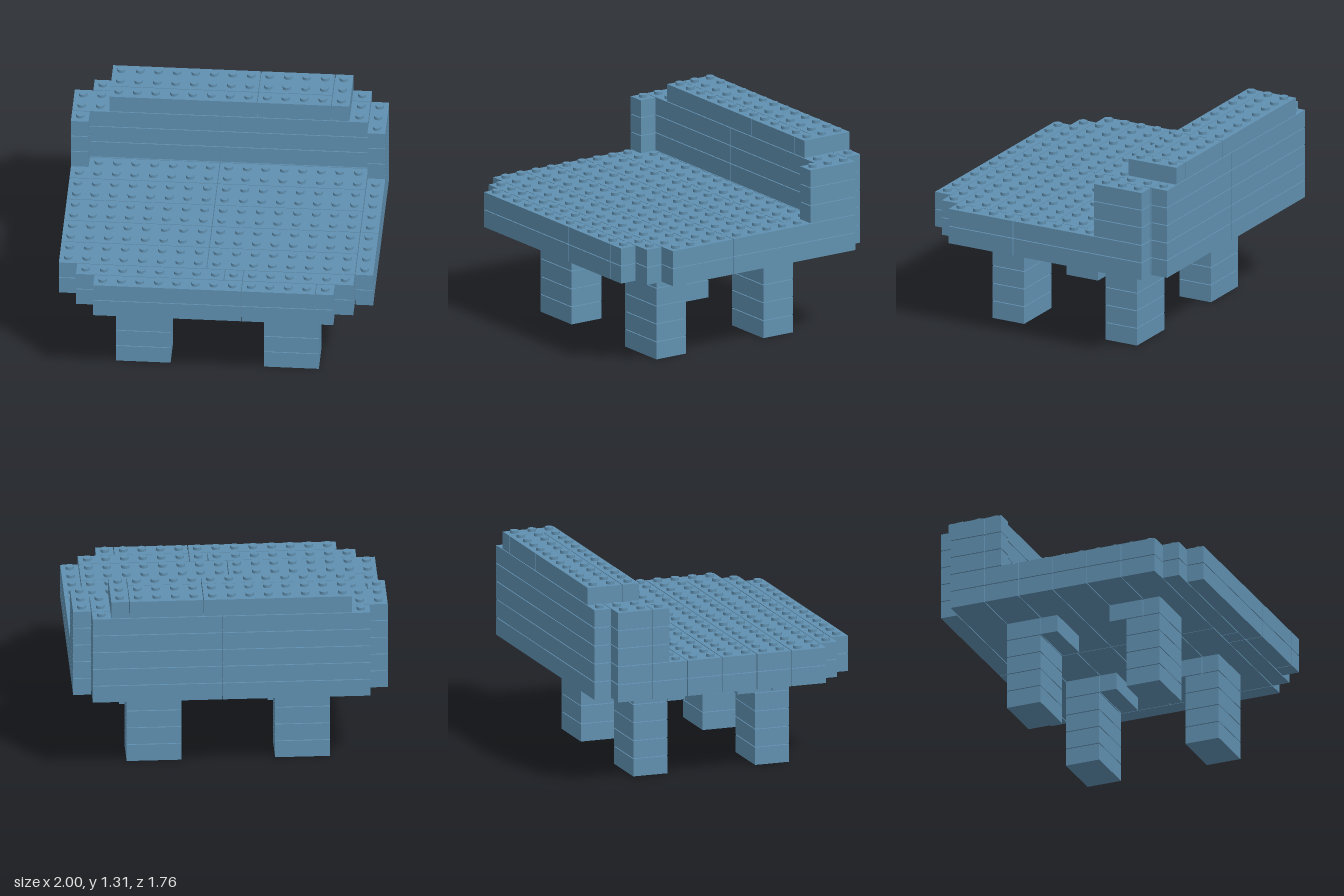
import * as THREE from 'three';
import { mergeGeometries } from 'three/addons/utils/BufferGeometryUtils.js';

const P = 2 / 17;      // stud pitch
const H = 0.118;       // layer height
const GAP = 0.005;     // seam between bricks
const STUD_R = 0.027, STUD_H = 0.019;

export function createModel() {
  const model = new THREE.Group();
  const blue = new THREE.MeshStandardMaterial({ color: 0x6090b0 });
  blue.name = 'dusty blue';

  // Bricks sit on a 17 x 15 stud grid: [x0, x1, z0, z1] in studs, on one layer
  const bricks = [];
  const add = (part, layers, rects) => {
    for (const layer of layers)
      for (const r of rects) bricks.push({ part, layer, r });
  };

  // Legs, with brackets below the seat
  for (const [side, x] of [['Right', 3], ['Left', 11]]) {
    add('front' + side + 'Leg', [0, 1, 2, 3], [[x, x + 3, 10, 12]]);
    add('front' + side + 'Leg', [4], [[x, x + 3, 9, 11], [x, x + 3, 11, 12]]);
    add('back' + side + 'Leg', [0, 1, 2, 3, 4], [[x, x + 3, 3, 5]]);
    add('back' + side + 'Leg', [4], [[x, x + 3, 5, 6]]);
  }

  // Seat: paired rows, a side column and stepped front rows
  const seat = [5, 6];
  for (let z = 1; z < 13; z += 2) add('seat', seat, [[0, 8, z, z + 2], [8, 16, z, z + 2]]);
  add('seat', seat, [
    [1, 9, 0, 1], [9, 16, 0, 1],
    [16, 17, 1, 9], [16, 17, 9, 13],
    [1, 9, 13, 14], [9, 10, 13, 14], [10, 16, 13, 14],
    [2, 10, 14, 15], [10, 14, 14, 15], [14, 15, 14, 15],
  ]);

  // Backrest with short arms at both ends
  const back = [7, 8, 9];
  add('backrest', back, [[1, 9, 0, 1], [9, 16, 0, 1], [0, 8, 1, 3], [8, 16, 1, 3]]);
  add('rightArm', back, [[0, 1, 3, 4]]);
  add('leftArm', back, [[16, 17, 1, 4]]);

  // Top rail
  add('topRail', [10], [
    [2, 10, 0, 2], [10, 14, 0, 2], [2, 10, 2, 3], [10, 14, 2, 3], [14, 15, 0, 3],
  ]);

  const covered = (layer, x, z) => bricks.some(({ layer: l, r }) =>
    l === layer && x >= r[0] && x < r[1] && z >= r[2] && z < r[3]);
  const toX = i => -1 + i * P;
  const toZ = j => (j - 7.5) * P;

  const parts = {};
  for (const { part, layer, r: [x0, x1, z0, z1] } of bricks) {
    const list = (parts[part] ??= { body: [], studs: [] });
    const top = (layer + 1) * H - GAP;
    list.body.push(
      new THREE.BoxGeometry((x1 - x0) * P - GAP, H - GAP, (z1 - z0) * P - GAP)
        .translate(toX((x0 + x1) / 2), layer * H + (H - GAP) / 2, toZ((z0 + z1) / 2)));
    // Studs only where nothing is stacked on top
    for (let x = x0; x < x1; x++)
      for (let z = z0; z < z1; z++)
        if (!covered(layer + 1, x, z))
          list.studs.push(
            new THREE.CylinderGeometry(STUD_R, STUD_R, STUD_H, 16)
              .translate(toX(x + 0.5), top + STUD_H / 2, toZ(z + 0.5)));
  }

  for (const [name, { body, studs }] of Object.entries(parts)) {
    const group = new THREE.Group();
    group.name = name;
    const addMesh = (geos, label) => {
      if (!geos.length) return;
      const mesh = new THREE.Mesh(mergeGeometries(geos), blue);
      mesh.name = label;
      group.add(mesh);
    };
    addMesh(body, name + 'Bricks');
    addMesh(studs, name + 'Studs');
    model.add(group);
  }
  return model;
}
